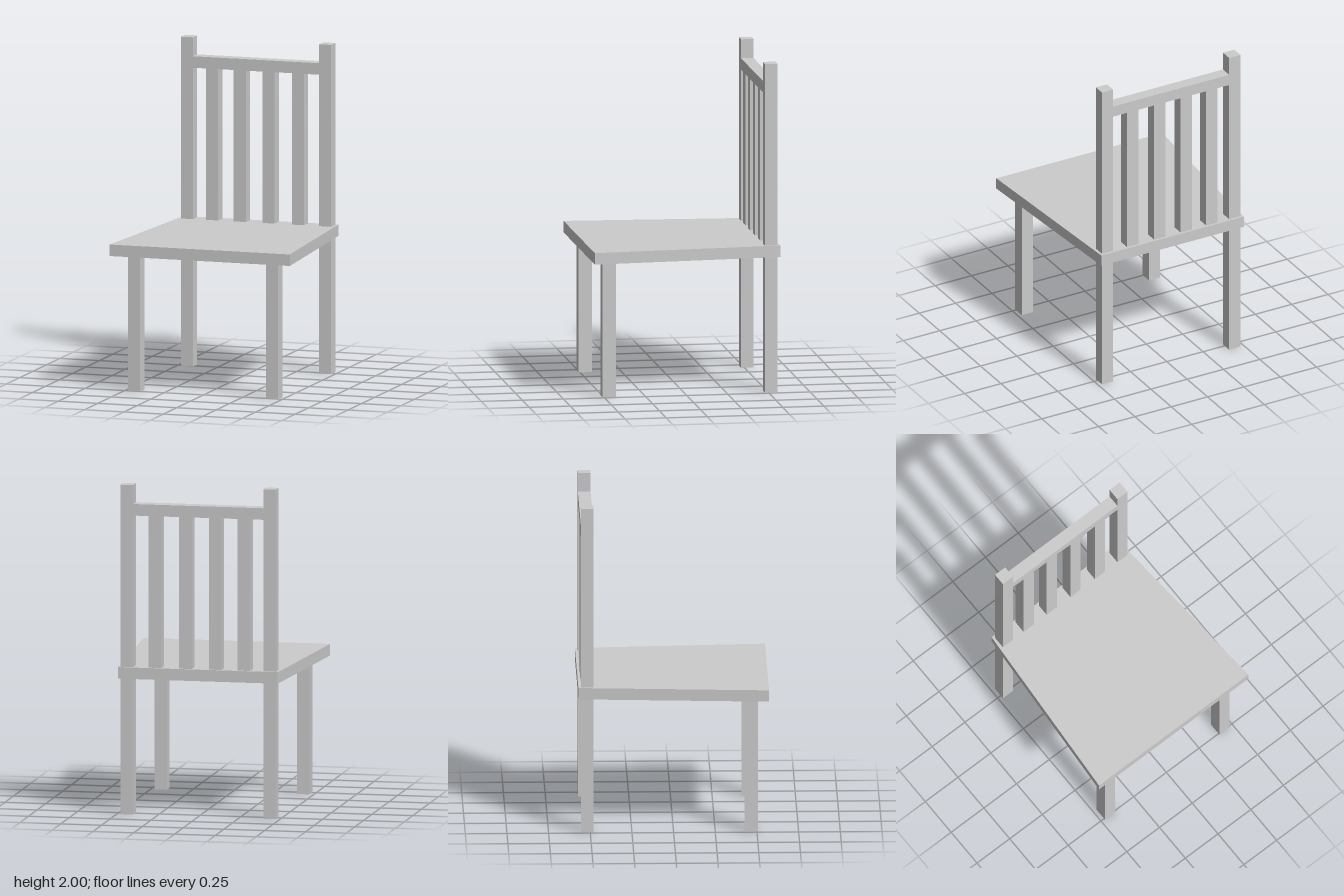
import * as THREE from 'three';

export function createModel() {
  const chair = new THREE.Group();
  chair.name = 'chair';
  const material = new THREE.MeshStandardMaterial({ color: 0xcccccc, flatShading: true });

  // Box given by its minimum and maximum on each axis
  const addBox = (name, [x0, x1], [y0, y1], [z0, z1]) => {
    const mesh = new THREE.Mesh(new THREE.BoxGeometry(x1 - x0, y1 - y0, z1 - z0), material);
    mesh.position.set((x0 + x1) / 2, (y0 + y1) / 2, (z0 + z1) / 2);
    mesh.name = name;
    chair.add(mesh);
  };

  const seatBottom = 0.825, seatTop = 0.895;
  const backZ = [-0.555, -0.479];

  // Seat: a trapezoid, wider at the front
  const outline = new THREE.Shape([
    new THREE.Vector2(-0.571, -0.571),
    new THREE.Vector2(0.571, -0.571),
    new THREE.Vector2(0.49, 0.571),
    new THREE.Vector2(-0.49, 0.571),
  ]);
  const seatGeometry = new THREE.ExtrudeGeometry(outline, { depth: seatTop - seatBottom, bevelEnabled: false });
  seatGeometry.rotateX(-Math.PI / 2);
  const seat = new THREE.Mesh(seatGeometry, material);
  seat.position.y = seatBottom;
  seat.name = 'seat';
  chair.add(seat);

  // Legs, with back posts rising above the seat
  for (const [side, x] of [['left', [0.399, 0.476]], ['right', [-0.476, -0.399]]]) {
    addBox(side + 'FrontLeg', x, [0, seatBottom], [0.427, 0.508]);
    addBox(side + 'BackLeg', x, [0, seatBottom], backZ);
    addBox(side + 'BackPost', x, [seatTop, 2], backZ);
  }

  // Top rail and slats of the backrest
  addBox('topRail', [-0.399, 0.399], [1.815, 1.885], backZ);
  for (const x of [-0.279, -0.103, 0.079, 0.265]) {
    addBox('backSlat', [x - 0.039, x + 0.039], [seatTop, 1.815], backZ);
  }

  return chair;
}
